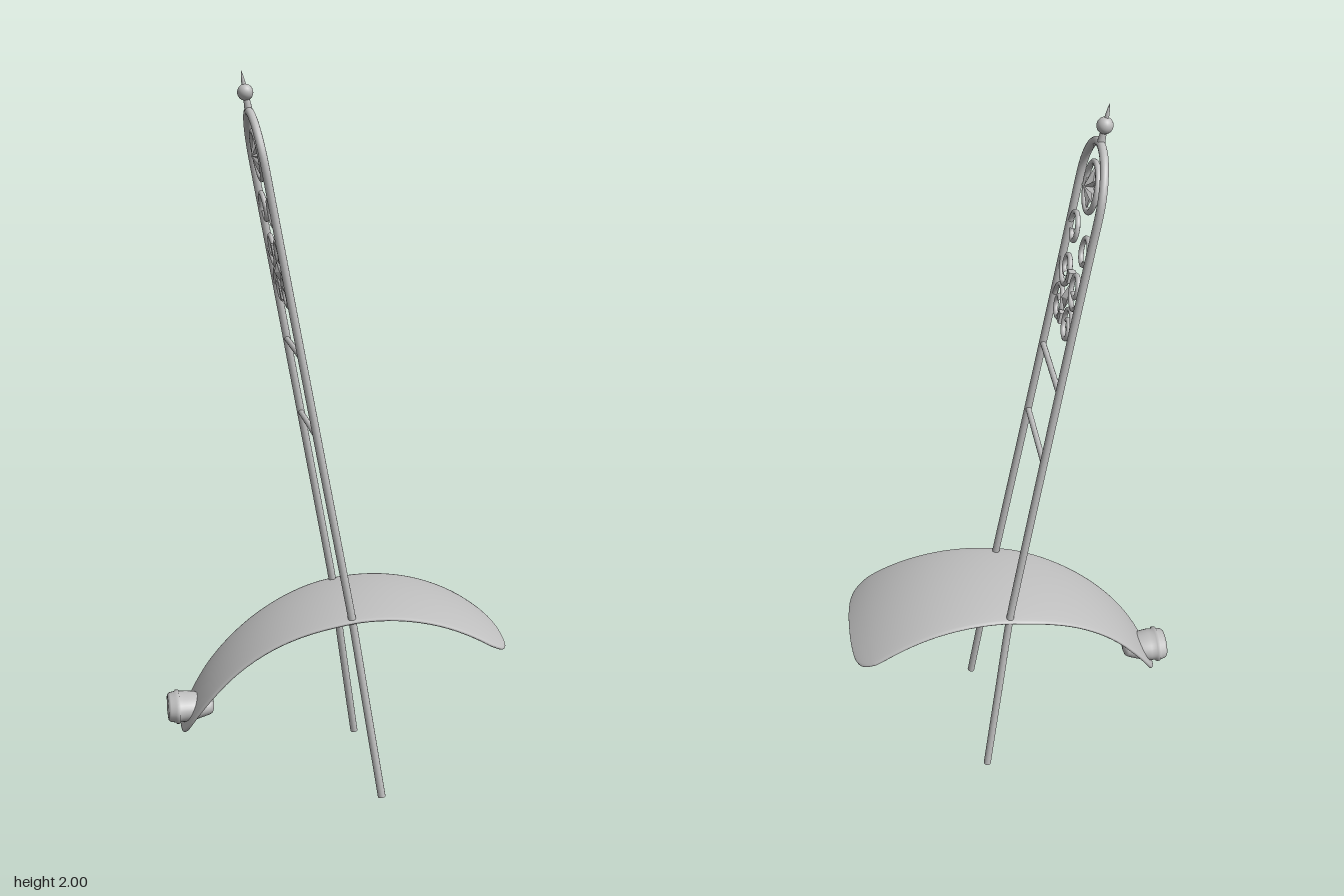
import * as THREE from 'three';

const steel = new THREE.MeshStandardMaterial({ color: 0xc0c0c0 });
steel.name = 'grey steel';

function add(parent, name, geometry, x = 0, y = 0, z = 0) {
  const mesh = new THREE.Mesh(geometry, steel);
  mesh.name = name;
  mesh.position.set(x, y, z);
  parent.add(mesh);
  return mesh;
}

const lathe = (points, sides) =>
  new THREE.LatheGeometry(points.map(([r, y]) => new THREE.Vector2(r, y)), sides);

// Curved plate: oval cross-sections swept along an arc, width taken from a plan outline
function fenderGeometry() {
  const outline = new THREE.SplineCurve([
    [-0.448, 0.035], [-0.438, 0.062], [-0.415, 0.085], [-0.38, 0.104], [-0.34, 0.115],
    [-0.2, 0.143], [-0.05, 0.17], [0.05, 0.177], [0.25, 0.19], [0.4, 0.199],
    [0.44, 0.191], [0.465, 0.17], [0.478, 0.135], [0.482, 0.085],
  ].map(([x, w]) => new THREE.Vector2(x, w))).getPoints(90);
  const sections = [outline[0], ...outline, outline[outline.length - 1]];
  const R = 0.594, cx = 0.105, cy = -0.048, sides = 36;
  const positions = [], index = [];
  sections.forEach(({ x, y: w }, i) => {
    const end = i === 0 || i === sections.length - 1;
    const up = Math.acos((x - cx) / R);
    for (let j = 0; j < sides; j++) {
      const a = (j / sides) * Math.PI * 2;
      const z = w * Math.cos(a);
      const half = end ? 0 : 0.007 * Math.sign(Math.sin(a)) * Math.abs(Math.sin(a)) ** 0.4;
      const r = R - 0.007 - 0.014 * (z / 0.2) ** 2 + half;
      positions.push(cx + r * Math.cos(up), cy + r * Math.sin(up), z);
      if (i < sections.length - 1) {
        const k = (j + 1) % sides, p = i * sides, q = p + sides;
        index.push(p + j, q + j, p + k, q + j, q + k, p + k);
      }
    }
  });
  const g = new THREE.BufferGeometry();
  g.setAttribute('position', new THREE.Float32BufferAttribute(positions, 3));
  g.setIndex(index);
  g.computeVertexNormals();
  return g;
}

// Faceted eight-pointed star with a raised centre on both faces
function starGeometry() {
  const v = [];
  const corner = (i) => {
    const r = i % 2 ? 0.018 : i % 4 ? 0.042 : 0.06;
    const a = (i * Math.PI) / 8;
    return [0, r * Math.sin(a), -r * Math.cos(a)];
  };
  for (let i = 0; i < 16; i++) {
    v.push(0.02, 0, 0, ...corner(i), ...corner(i + 1));
    v.push(-0.016, 0, 0, ...corner(i + 1), ...corner(i));
  }
  const g = new THREE.BufferGeometry();
  g.setAttribute('position', new THREE.Float32BufferAttribute(v, 3));
  g.computeVertexNormals();
  return g;
}

// Spiral bar in the backrest plane, starting at the rail and curling inwards
function scrollGeometry(cy, cz, side, direction, r0, r1, r2, turns) {
  const points = [];
  for (let i = 0; i <= 30; i++) {
    const t = i / 30, a = direction * t * turns * Math.PI * 2;
    const r = t < 0.35 ? r0 + (r1 - r0) * (t / 0.35) : r1 + (r2 - r1) * ((t - 0.35) / 0.65);
    points.push(new THREE.Vector3(0, cy + r * Math.sin(a), side * (cz + r * Math.cos(a))));
  }
  return new THREE.TubeGeometry(new THREE.CatmullRomCurve3(points), 60, 0.007, 8);
}

export function createModel() {
  const model = new THREE.Group();
  model.name = 'fenderWithTallBackrest';

  add(model, 'fender', fenderGeometry());

  // Oval lamp through the low end of the fender, tapering towards its inner end
  const lamp = add(model, 'tailLamp', lathe([
    [0, -0.487], [0.034, -0.484], [0.039, -0.477], [0.041, -0.464], [0.045, -0.461],
    [0.045, -0.452], [0.041, -0.45], [0.041, -0.435], [0.038, -0.41], [0.032, -0.385],
    [0.027, -0.366], [0.022, -0.357], [0.012, -0.353], [0, -0.352],
  ], 32), 0, 0.23, 0);
  lamp.rotation.z = -Math.PI / 2;
  lamp.scale.z = 1.38;

  // Backrest: built upright, then leaned back so local heights stay true
  const back = new THREE.Group();
  back.name = 'backrest';
  const slope = 0.181;
  back.position.x = 0.118;
  back.rotation.z = Math.atan(slope);
  back.scale.y = Math.hypot(1, slope);
  model.add(back);

  // Continuous bent rail, its legs kinked slightly backwards below the fender
  const half = [[0.006, 0.208], [0.28, 0.18], [0.52, 0.156], [0.64, 0.151], [0.95, 0.142],
    [1.3, 0.134], [1.5, 0.13], [1.68, 0.128]];
  for (let i = 0; i < 6; i++) {
    const a = (i * Math.PI) / 12;
    half.push([1.76 + 0.135 * Math.sin(a), 0.128 * Math.cos(a)]);
  }
  const kink = (y) => -0.018 * Math.max(0, 1 - y / 0.54);
  const path = [
    ...half.map(([y, z]) => new THREE.Vector3(kink(y), y, z)),
    new THREE.Vector3(0, 1.895, 0),
    ...half.map(([y, z]) => new THREE.Vector3(kink(y), y, -z)).reverse(),
  ];
  add(back, 'rail', new THREE.TubeGeometry(new THREE.CatmullRomCurve3(path), 220, 0.011, 12));

  for (const side of [1, -1]) {
    add(back, 'railFoot', new THREE.CircleGeometry(0.011, 12), kink(0), 0.006, side * 0.208)
      .rotation.x = Math.PI / 2;
    add(back, 'upperScroll', scrollGeometry(1.635, 0.074, side, 1, 0.046, 0.04, 0.022, 0.95));
    add(back, 'middleScroll', scrollGeometry(1.533, 0.062, side, -1, 0.06, 0.038, 0.018, 1.35));
    add(back, 'lowerScroll', scrollGeometry(1.423, 0.062, side, 1, 0.06, 0.038, 0.018, 1.35));
  }

  // Cross bars
  for (const [y, length] of [[1.05, 0.276], [1.265, 0.267]]) {
    add(back, 'crossBar', new THREE.CylinderGeometry(0.008, 0.008, length, 12), 0, y, 0)
      .rotation.x = Math.PI / 2;
  }

  // Collars and diamond between the scrolls
  for (const y of [1.535, 1.418]) {
    add(back, 'collar', new THREE.BoxGeometry(0.02, 0.03, 0.022), 0, y, 0);
  }
  add(back, 'diamond', new THREE.OctahedronGeometry(1), 0, 1.477, 0).scale.set(0.014, 0.036, 0.013);

  // Star medallion
  add(back, 'medallionRing', new THREE.TorusGeometry(0.062, 0.0075, 10, 40), 0, 1.783, 0)
    .rotation.y = Math.PI / 2;
  add(back, 'medallionStar', starGeometry(), 0, 1.783, 0);

  // Finial on the arch
  add(back, 'finialNeck', new THREE.CylinderGeometry(0.008, 0.011, 0.035, 12), 0, 1.912, 0);
  add(back, 'finialBall', new THREE.SphereGeometry(0.021, 20, 14), 0, 1.943, 0);
  add(back, 'finialSpike', lathe([[0.006, 1.96], [0.005, 1.972], [0.003, 1.986], [0, 2]], 12));

  return model;
}
